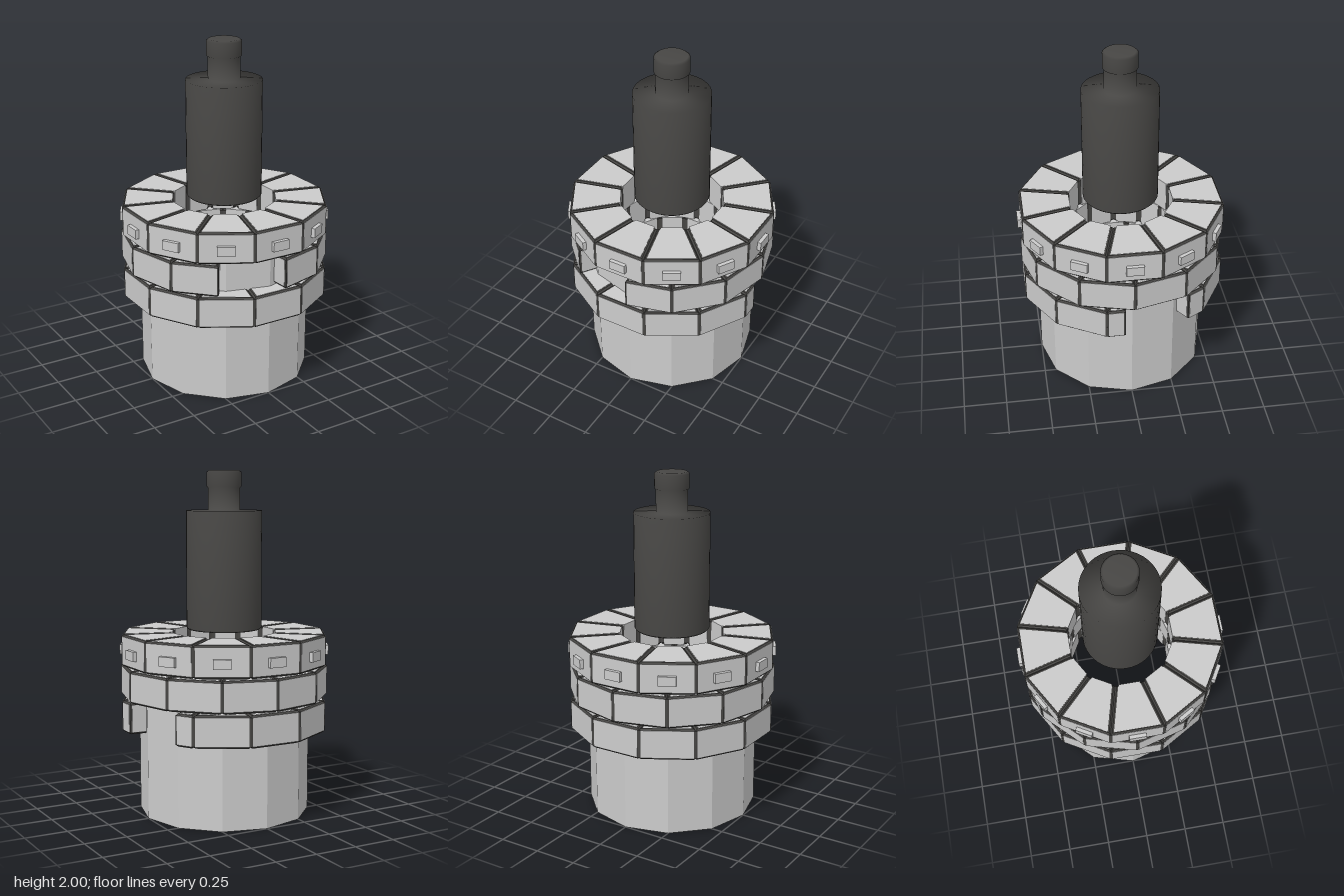
import * as THREE from 'three';

const rad = THREE.MathUtils.degToRad;
const light = new THREE.MeshStandardMaterial({ color: 0xcccccc, flatShading: true });
const dark = new THREE.MeshStandardMaterial({ color: 0x474644, flatShading: true });
const OUTER = 0.586, INNER = 0.3; // distances of the flat faces from the axis

function addMesh(parent, name, geometry, material) {
  const mesh = new THREE.Mesh(geometry, material);
  mesh.name = name;
  parent.add(mesh);
  return mesh;
}

// Wedge of a ring between angles t0 and t1 about its own facet, with inset sides
function wedge(t0, t1, w0, w1, inset, y0, y1, bevel = 0) {
  const left = w => w * Math.tan(t0) + inset / Math.cos(t0);
  const right = w => w * Math.tan(t1) - inset / Math.cos(t1);
  const shape = new THREE.Shape([
    new THREE.Vector2(left(w0), w0), new THREE.Vector2(right(w0), w0),
    new THREE.Vector2(right(w1), w1), new THREE.Vector2(left(w1), w1),
  ]);
  const g = new THREE.ExtrudeGeometry(shape, {
    depth: y1 - y0 - 2 * bevel,
    bevelEnabled: bevel > 0, bevelSize: bevel, bevelThickness: bevel,
    bevelOffset: -bevel, bevelSegments: 1,
  });
  return g.rotateX(Math.PI / 2).translate(0, y1 - bevel, 0);
}

// One brick: a dark bevelled core with pale faces standing slightly proud
function brick(mid, from, to, y0, y1, cutEnd) {
  const g = new THREE.Group();
  g.name = 'brick';
  const t0 = rad(from - mid), t1 = rad(to - mid), e = 0.002;
  addMesh(g, 'brickCore', wedge(t0, t1, INNER + e, OUTER, 0, y0, y1, 0.01), dark);
  addMesh(g, 'brickTopAndBottomFaces',
    wedge(t0, t1, INNER, OUTER - 0.012, 0.018, y0 - e, y1 + e), light);
  addMesh(g, 'brickOuterFace',
    wedge(t0, t1, INNER + 0.02, OUTER + e, 0.01, y0 + 0.01, y1 - 0.01), light);
  if (cutEnd) {
    addMesh(g, 'brickEndFace',
      wedge(t0, t1, INNER + 0.02, OUTER - 0.012, -e, y0 + 0.012, y1 - 0.012), light);
  }
  g.rotation.y = rad(mid);
  return g;
}

// Ring of twelve bricks; a gap [start, end] in degrees trims or drops bricks
function brickRing(name, y0, y1, offset, gap) {
  const ring = new THREE.Group();
  ring.name = name;
  for (let i = 0; i < 12; i++) {
    const mid = offset + i * 30;
    let from = mid - 15, to = mid + 15, cut = false;
    if (gap) {
      if (from >= gap[0] && to <= gap[1]) continue;
      if (from < gap[0] && to > gap[0]) { to = gap[0]; cut = true; }
      else if (from < gap[1] && to > gap[1]) { from = gap[1]; cut = true; }
    }
    ring.add(brick(mid, from, to, y0, y1, cut));
  }
  return ring;
}

export function createModel() {
  const model = new THREE.Group();
  model.name = 'brickTower';

  // Open twelve-sided sleeve
  const sleeveMaterial = light.clone();
  sleeveMaterial.side = THREE.DoubleSide;
  addMesh(model, 'sleeve',
    new THREE.CylinderGeometry(0.5, 0.5, 0.89, 12, 1, true).translate(0, 0.445, 0),
    sleeveMaterial);

  // Three staggered brick rings, the lower two with a gap
  model.add(brickRing('lowerRing', 0.495, 0.678, 0, [85, 124]));
  model.add(brickRing('middleRing', 0.688, 0.87, -135, [-34, 4]));
  const top = brickRing('upperRing', 0.88, 1.063, 0);
  model.add(top);

  // Small blocks on the outer faces of the upper ring
  for (let i = 0; i < 12; i++) {
    const stud = addMesh(top, 'stud',
      new THREE.BoxGeometry(0.1, 0.055, 0.06).translate(0, 0.962, 0.58), light);
    stud.rotation.y = rad(i * 30);
  }

  // Smooth bottle floating above the opening
  const profile = [
    [0, 1.08], [0.21, 1.08], [0.22, 1.09], [0.22, 1.77], [0.092, 1.77],
    [0.092, 1.9], [0.1, 1.905], [0.1, 1.99], [0.087, 2], [0, 2],
  ].map(([x, y]) => new THREE.Vector2(x, y));
  const smoothDark = dark.clone();
  smoothDark.flatShading = false;
  addMesh(model, 'bottle', new THREE.LatheGeometry(profile, 40), smoothDark);

  return model;
}
